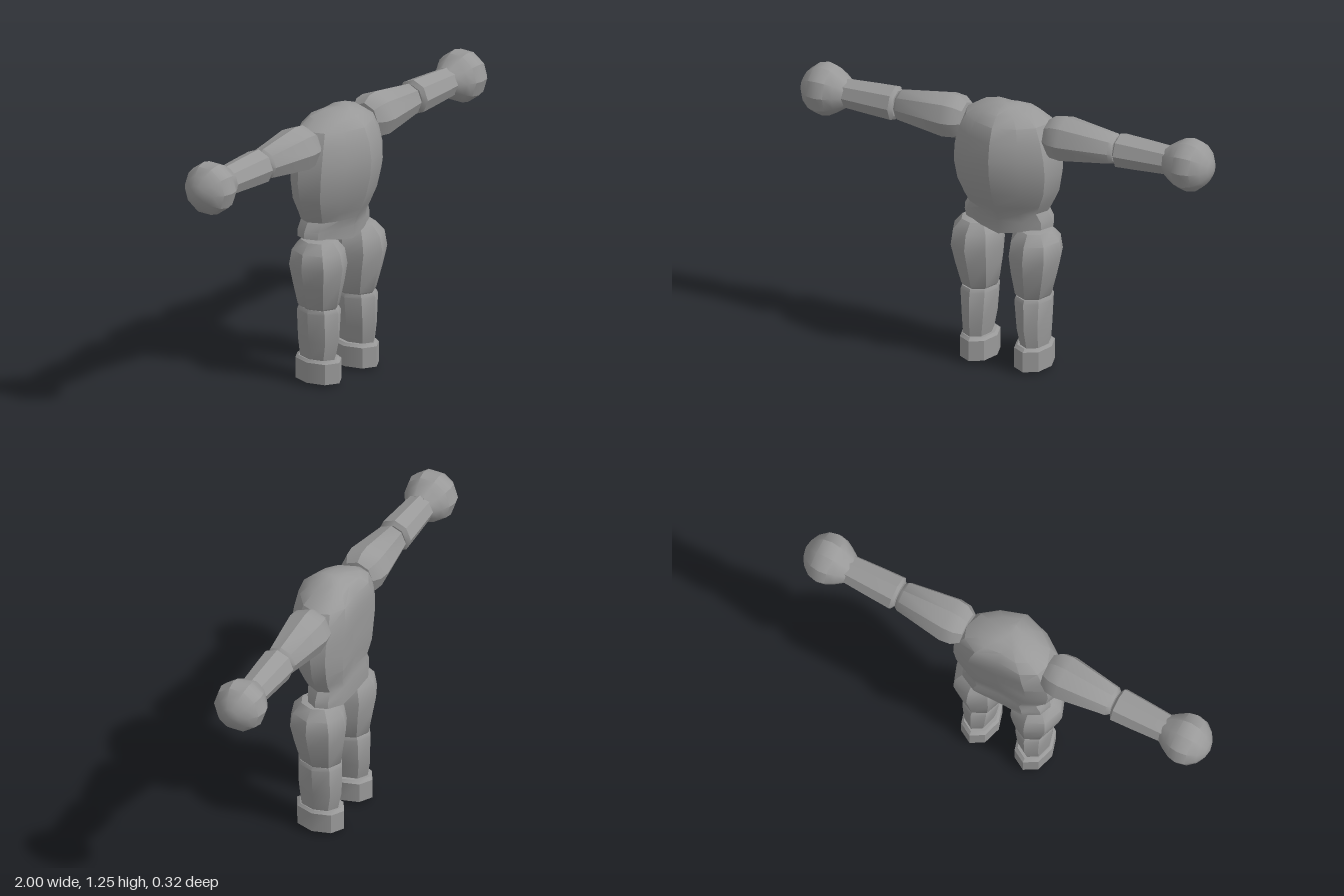
import * as THREE from 'three';
import { toCreasedNormals } from 'three/addons/utils/BufferGeometryUtils.js';

// Skin a stack of rings (bottom to top) and close both ends with a fan to a tip.
function loft(rings, bottomTip, topTip, crease) {
  const n = rings[0].length;
  const pos = [...rings.flat(), bottomTip, topTip].flat();
  const low = rings.length * n, high = low + 1, last = (rings.length - 1) * n;
  const index = [];
  for (let i = 0; i < n; i++) {
    const j = (i + 1) % n;
    for (let r = 0; r < last; r += n) {
      index.push(r + i, r + j, r + n + j, r + i, r + n + j, r + n + i);
    }
    index.push(low, j, i, high, last + i, last + j);
  }
  const g = new THREE.BufferGeometry();
  g.setAttribute('position', new THREE.Float32BufferAttribute(pos, 3));
  g.setIndex(index);
  return toCreasedNormals(g, crease);
}

// Faceted limb along y; each section is [y, centreX, centreZ, radiusX, radiusZ].
function limb(sections, sides, tipLow = 0, tipHigh = 0) {
  const rings = sections.map(([y, cx, cz, rx, rz]) =>
    Array.from({ length: sides }, (_, i) => {
      const a = (i / sides) * Math.PI * 2;
      return [cx + Math.sin(a) * rx, y, cz + Math.cos(a) * rz];
    }));
  const a = sections[0], b = sections[sections.length - 1];
  return loft(rings, [a[1], a[0] - tipLow, a[2]], [b[1], b[0] + tipHigh, b[2]], 0.6);
}

// Torso ring: a rounded, slightly pointed front and a flatter back.
function torsoRing([y, w, zf, zb], drop = 0) {
  const zm = -0.045, f = zf - zm, b = zb - zm;
  const half = [[0.5, zm + f * 0.8], [0.85, zm + f * 0.48], [1, zm], [0.9, zm + b * 0.6], [0.55, zb]];
  const point = (k, z) => [k * w, y - drop * (1 - Math.abs(k)), z];
  return [
    point(0, zf), ...half.map(([k, z]) => point(k, z)),
    point(0, zb + 0.008), ...half.slice().reverse().map(([k, z]) => point(-k, z)),
  ];
}

export function createModel() {
  const model = new THREE.Group();
  const grey = new THREE.MeshStandardMaterial({ color: 0x999999 });
  grey.name = 'grey';
  const add = (name, geometry) => {
    const mesh = new THREE.Mesh(geometry, grey);
    mesh.name = name;
    model.add(mesh);
    return mesh;
  };

  // Torso: [y, half width, front z, back z]
  const torso = [
    [0.68, 0.215, 0.06, -0.132], [0.71, 0.213, 0.065, -0.134], [0.75, 0.19, 0.08, -0.131],
    [0.79, 0.212, 0.1, -0.129], [0.86, 0.245, 0.13, -0.142], [0.95, 0.26, 0.153, -0.145],
    [1.03, 0.254, 0.16, -0.148], [1.11, 0.232, 0.148, -0.15], [1.175, 0.2, 0.122, -0.138],
    [1.215, 0.14, 0.08, -0.11], [1.238, 0.065, 0.04, -0.065],
  ].map((s, i) => torsoRing(s, i === 0 ? 0.035 : 0));
  add('torso', loft(torso, [0, 0.64, -0.035], [0, 1.245, -0.01], 0.5));

  for (const s of [1, -1]) {
    const side = s > 0 ? 'left' : 'right';

    // Arms: [distance from centre, radius], laid out sideways
    const arm = (name, sections, sides, tips) => {
      const g = limb(sections.map(([x, r]) => [x, 0, 0, r, r]), sides, ...tips);
      g.rotateZ(-s * Math.PI / 2);
      add(side + name, g).position.set(0, 1.118, -0.036);
    };
    arm('UpperArm', [[0.2, 0.075], [0.235, 0.1], [0.285, 0.106], [0.515, 0.072], [0.53, 0.058]], 8, [0.01, 0]);
    arm('Forearm', [[0.535, 0.06], [0.548, 0.08], [0.65, 0.075], [0.8, 0.066]], 8, [0, 0]);
    arm('Hand', [[0.775, 0.064], [0.815, 0.092], [0.85, 0.112], [0.887, 0.12], [0.93, 0.11],
      [0.968, 0.078], [0.99, 0.04]], 10, [0, 0.01]);

    // Legs: [y, centre x, centre z, radius x, radius z]
    const leg = (name, sections, ...tips) =>
      add(side + name, limb(sections.map(([y, x, ...rest]) => [y, s * x, ...rest]), 8, ...tips));
    leg('Thigh', [
      [0.35, 0.13, -0.03, 0.075, 0.09], [0.362, 0.13, -0.03, 0.084, 0.099],
      [0.47, 0.136, -0.026, 0.108, 0.12], [0.55, 0.141, -0.024, 0.12, 0.135],
      [0.62, 0.141, -0.024, 0.112, 0.12], [0.665, 0.139, -0.024, 0.075, 0.08],
    ], 0, 0.018);
    leg('Shin', [
      [0.11, 0.138, -0.028, 0.06, 0.088], [0.125, 0.138, -0.028, 0.063, 0.092],
      [0.2, 0.133, -0.028, 0.071, 0.106], [0.335, 0.131, -0.028, 0.083, 0.108],
      [0.352, 0.131, -0.028, 0.076, 0.098],
    ]);
    leg('Foot', [
      [0.014, 0.132, -0.03, 0.083, 0.116], [0.108, 0.132, -0.03, 0.083, 0.116],
      [0.12, 0.133, -0.03, 0.072, 0.1],
    ], 0.014, 0);
  }
  return model;
}
